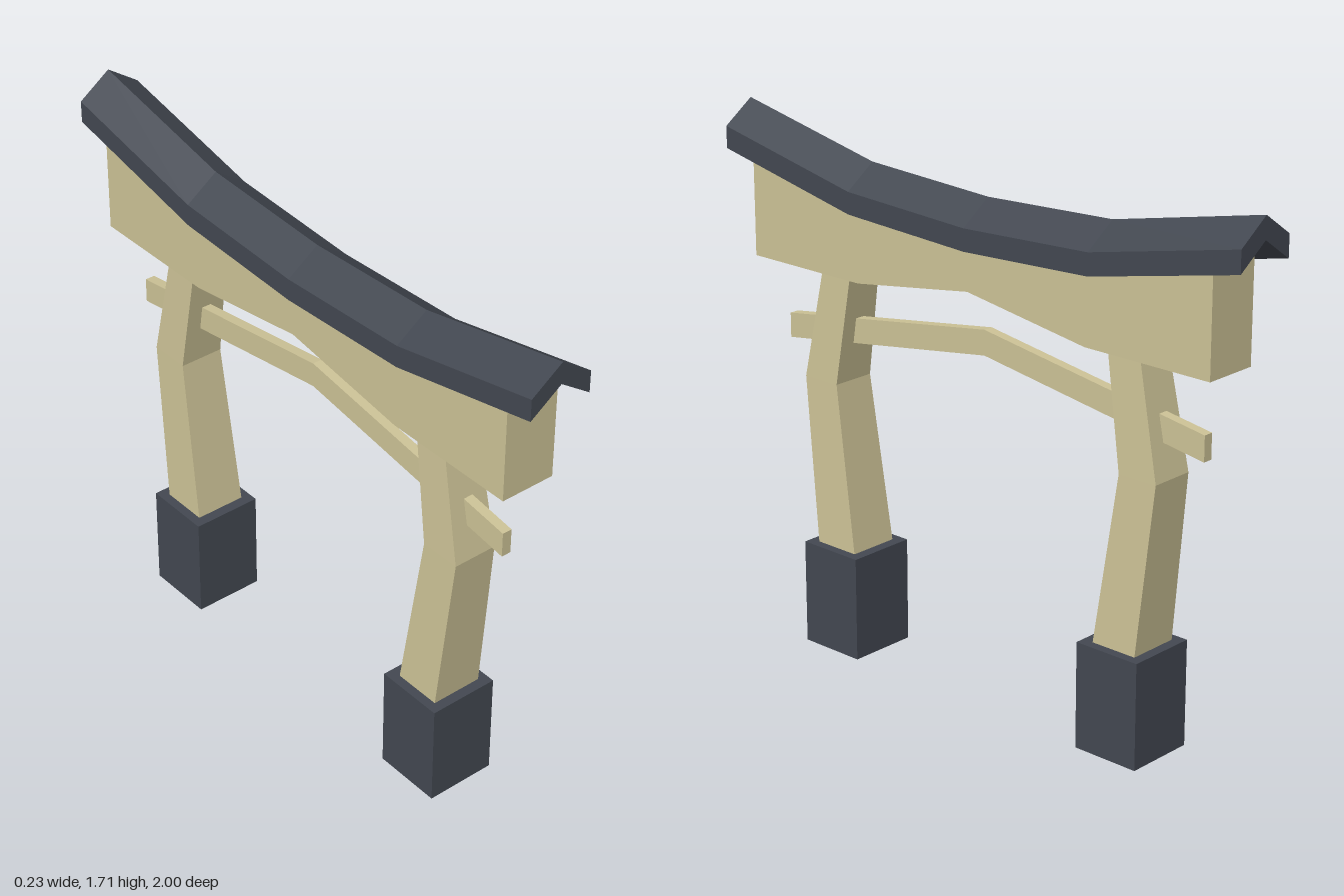
import * as THREE from 'three';

// Joins equal rings of [x, y, z] points, closing both ends with a fan from point 0
function loft(rings) {
  const pos = [];
  const tri = (a, b, c) => pos.push(...a, ...b, ...c);
  const n = rings[0].length;
  for (let r = 0; r < rings.length - 1; r++) {
    const a = rings[r], b = rings[r + 1];
    for (let i = 0; i < n; i++) {
      const j = (i + 1) % n;
      tri(a[i], a[j], b[j]);
      tri(a[i], b[j], b[i]);
    }
  }
  const first = rings[0], last = rings[rings.length - 1];
  for (let i = 1; i < n - 1; i++) {
    tri(first[0], first[i + 1], first[i]);
    tri(last[0], last[i], last[i + 1]);
  }
  const g = new THREE.BufferGeometry();
  g.setAttribute('position', new THREE.Float32BufferAttribute(pos, 3));
  g.computeVertexNormals();
  return g;
}

export function createModel() {
  const group = new THREE.Group();
  const wood = new THREE.MeshStandardMaterial({ color: 0xccc296 });
  wood.name = 'pale wood';
  const slate = new THREE.MeshStandardMaterial({ color: 0x434851 });
  slate.name = 'dark slate';
  const add = (name, geometry, material) => {
    const mesh = new THREE.Mesh(geometry, material);
    mesh.name = name;
    group.add(mesh);
    return mesh;
  };

  // Curved roof: chevron section sweeping up towards both ends
  const roofLine = [[-1, 1.705], [-0.47, 1.592], [0, 1.57], [0.47, 1.592], [1, 1.705]];
  add('roof', loft(roofLine.map(([z, y]) => [
    [0, y, z], [-0.105, y - 0.073, z], [-0.105, y - 0.143, z],
    [0, y - 0.07, z], [0.105, y - 0.143, z], [0.105, y - 0.073, z],
  ])), slate);

  // Main beam: peaked top tucked under the roof, underside arched in the middle
  const beamLine = [[-0.897, 1.62, 1.235], [-0.45, 1.525, 1.235], [0, 1.505, 1.303],
    [0.45, 1.525, 1.235], [0.897, 1.62, 1.235]];
  add('mainBeam', loft(beamLine.map(([z, top, bottom]) => [
    [0, top, z], [-0.09, top - 0.065, z], [-0.09, bottom, z],
    [0.09, bottom, z], [0.09, top - 0.065, z],
  ])), wood);

  // Thin tie bar, bent upwards in the middle
  const barLine = [[-0.827, 0.965], [0, 1.09], [0.827, 0.965]];
  add('tieBar', loft(barLine.map(([z, y]) => [
    [-0.016, y + 0.08, z], [-0.016, y, z], [0.016, y, z], [0.016, y + 0.08, z],
  ])), wood);

  // Bent legs: height, half width, inner z, outer z
  const legLine = [[0.33, 0.085, 0.489, 0.647], [0.88, 0.073, 0.568, 0.703], [1.25, 0.062, 0.51, 0.627]];

  // Hollow foot block
  const foot = new THREE.Shape([[-0.115, -0.113], [0.115, -0.113], [0.115, 0.113], [-0.115, 0.113]]
    .map(p => new THREE.Vector2(...p)));
  foot.holes.push(new THREE.Path([[-0.083, -0.078], [-0.083, 0.078], [0.083, 0.078], [0.083, -0.078]]
    .map(p => new THREE.Vector2(...p))));
  const footGeometry = new THREE.ExtrudeGeometry(foot, { depth: 0.34, bevelEnabled: false });
  footGeometry.rotateX(-Math.PI / 2);

  for (const [side, s] of [['front', 1], ['back', -1]]) {
    add(side + 'Leg', loft(legLine.map(([y, w, inner, outer]) => {
      const near = s > 0 ? outer : -inner, far = s > 0 ? inner : -outer;
      return [[-w, y, near], [w, y, near], [w, y, far], [-w, y, far]];
    })), wood);
    add(side + 'Foot', footGeometry, slate).position.z = s * 0.568;
  }
  return group;
}
